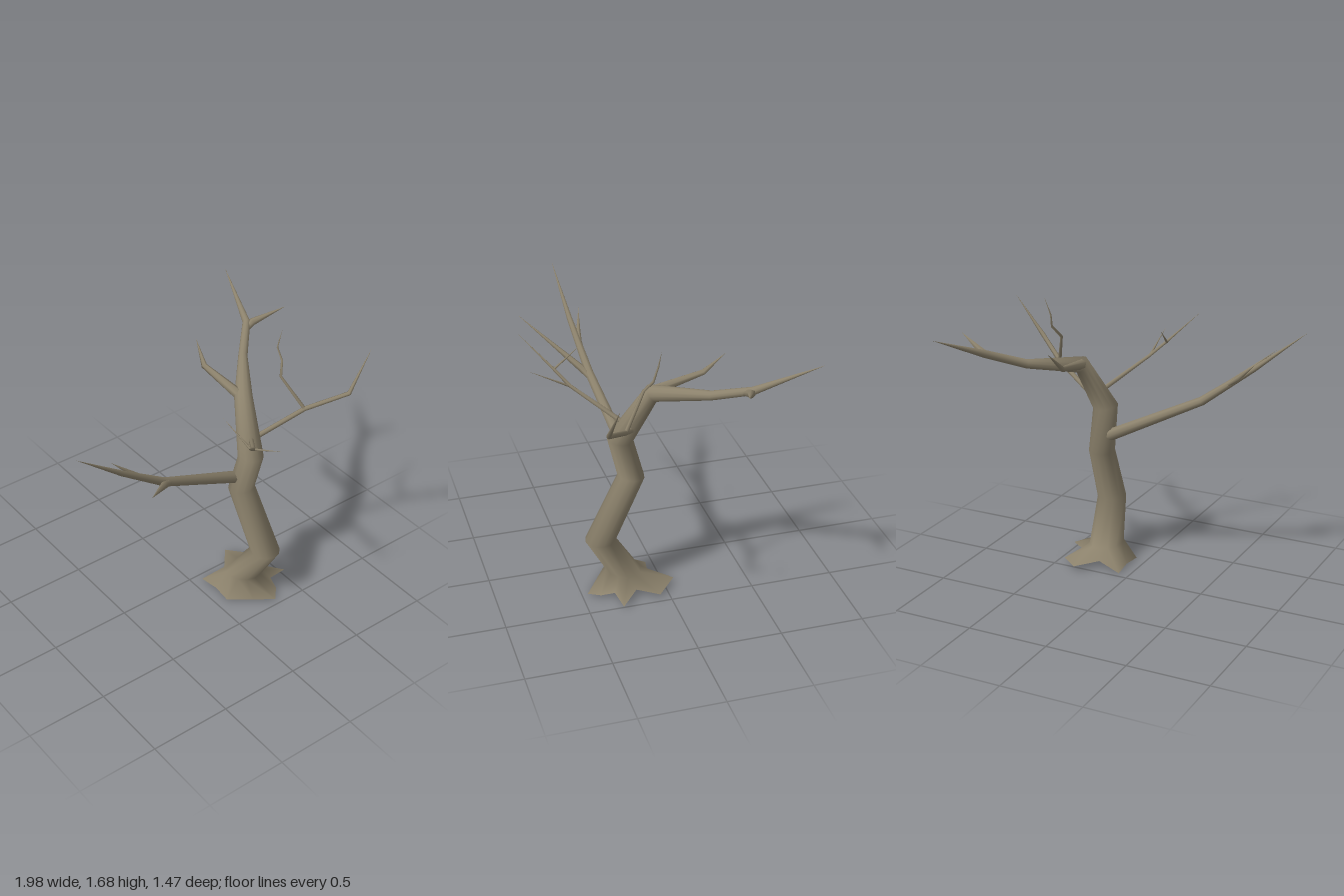
import * as THREE from 'three';

const bark = new THREE.MeshStandardMaterial({ color: 0x8c826c });
bark.name = 'bark';

// Circular cross-sections along a path of [x, y, z, radius], mitred at every bend
function pathRings(path, sides, reference) {
  const points = path.map(([x, y, z]) => new THREE.Vector3(x, y, z));
  const u = reference.clone();
  return points.map((p, k) => {
    const t = new THREE.Vector3();
    if (k > 0) t.add(p.clone().sub(points[k - 1]).normalize());
    if (k < points.length - 1) t.add(points[k + 1].clone().sub(p).normalize());
    t.normalize();
    u.addScaledVector(t, -u.dot(t)).normalize();
    const v = u.clone().cross(t);
    const r = path[k][3];
    return Array.from({ length: sides }, (_, i) => {
      const a = (i / sides) * Math.PI * 2;
      return p.clone().addScaledVector(u, Math.cos(a) * r).addScaledVector(v, Math.sin(a) * r);
    });
  });
}

// Smooth skin over a stack of rings
function loft(name, rings) {
  const n = rings[0].length;
  const index = [];
  for (let k = 0; k < rings.length - 1; k++) {
    for (let i = 0; i < n; i++) {
      const a = k * n + i, b = k * n + (i + 1) % n;
      index.push(a, a + n, b, b, a + n, b + n);
    }
  }
  const geometry = new THREE.BufferGeometry().setFromPoints(rings.flat());
  geometry.setIndex(index);
  geometry.computeVertexNormals();
  const mesh = new THREE.Mesh(geometry, bark);
  mesh.name = name;
  return mesh;
}

const branch = (name, path, sides = 6) =>
  loft(name, pathRings(path, sides, new THREE.Vector3(0, 1, 0)));

export function createModel() {
  const tree = new THREE.Group();
  tree.name = 'bareTree';

  // Trunk, bending into the long rear limb; its first ring becomes the root outline
  const rings = pathRings([
    [0.25, 0, 0.33, 0.1],
    [0.25, 0.11, 0.23, 0.108],
    [0.287, 0.36, 0.377, 0.09],
    [0.253, 0.74, 0.178, 0.08],
    [0.262, 1.0, 0.245, 0.077],
    [0.335, 1.3, 0.075, 0.054],
    [0.55, 1.35, -0.2, 0.028],
    [0.72, 1.435, -0.38, 0.024],
    [0.84, 1.595, -0.745, 0],
  ], 12, new THREE.Vector3(1, 0, 0));
  const roots = [
    [0.4, 0.04, 0.19], [0.52, 0.02, 0.3], [0.39, 0.035, 0.32], [0.37, 0.02, 0.4],
    [0.31, 0.005, 0.465], [0.2, 0.005, 0.385], [0.07, 0.005, 0.29], [0.08, 0.01, 0.17],
    [0.07, 0, 0.04], [0.22, 0.04, 0.07], [0.33, 0.035, -0.06], [0.46, 0.02, 0.06],
  ].map((p) => new THREE.Vector3(...p));
  rings[0] = roots;
  tree.add(loft('trunk', rings));

  // Underside of the roots
  const centre = roots.map(() => new THREE.Vector3(0.25, 0, 0.2));
  tree.add(loft('rootUnderside', [centre, roots]));

  // Offshoots of the rear limb
  tree.add(branch('rearFork', [
    [0.68, 1.41, -0.34, 0.016], [0.75, 1.435, -0.36, 0.024], [0.94, 1.512, -0.28, 0],
  ]));
  tree.add(branch('crownSpur', [
    [0.325, 1.3, 0.1, 0.035], [0.29, 1.365, -0.24, 0.018], [0.32, 1.482, -0.36, 0],
  ]));

  // Long limb on the right side
  tree.add(branch('longLimb', [
    [0.25, 0.815, 0.18, 0.038], [0.19, 0.845, 0.185, 0.037],
    [-0.37, 1.12, 0.26, 0.027], [-0.68, 1.35, 0.3, 0.017], [-0.99, 1.6, 0.33, 0],
  ], 8));
  tree.add(branch('longLimbFork', [
    [-0.32, 1.095, 0.255, 0.015], [-0.4, 1.14, 0.3, 0.022], [-0.71, 1.392, 0.61, 0],
  ]));
  tree.add(branch('longLimbTwig', [
    [-0.5, 1.215, 0.275, 0.012], [-0.6, 1.295, 0.265, 0.014], [-0.71, 1.395, 0.235, 0],
  ]));

  // Slender front branch with two twigs
  tree.add(branch('frontBranch', [
    [0.28, 1.1, 0.22, 0.016], [0.08, 1.28, 0.485, 0.011],
    [0, 1.36, 0.56, 0.009], [-0.155, 1.527, 0.722, 0],
  ]));
  tree.add(branch('frontTwigLow', [
    [0.08, 1.275, 0.48, 0.008], [0.08, 1.405, 0.725, 0],
  ]));
  tree.add(branch('frontTwigHigh', [
    [0, 1.355, 0.56, 0.008], [-0.047, 1.48, 0.37, 0],
  ]));

  // Left branch with a crooked twig
  tree.add(branch('leftBranch', [
    [0.29, 1.055, 0.18, 0.016], [0.61, 1.225, 0.305, 0.015],
    [0.815, 1.332, 0.455, 0.014], [0.988, 1.567, 0.437, 0],
  ]));
  tree.add(branch('crookedTwig', [
    [0.61, 1.225, 0.305, 0.012], [0.525, 1.42, 0.18, 0.009], [0.567, 1.49, 0.137, 0.007],
    [0.555, 1.57, 0.105, 0.005], [0.595, 1.68, 0.098, 0],
  ]));

  return tree;
}
